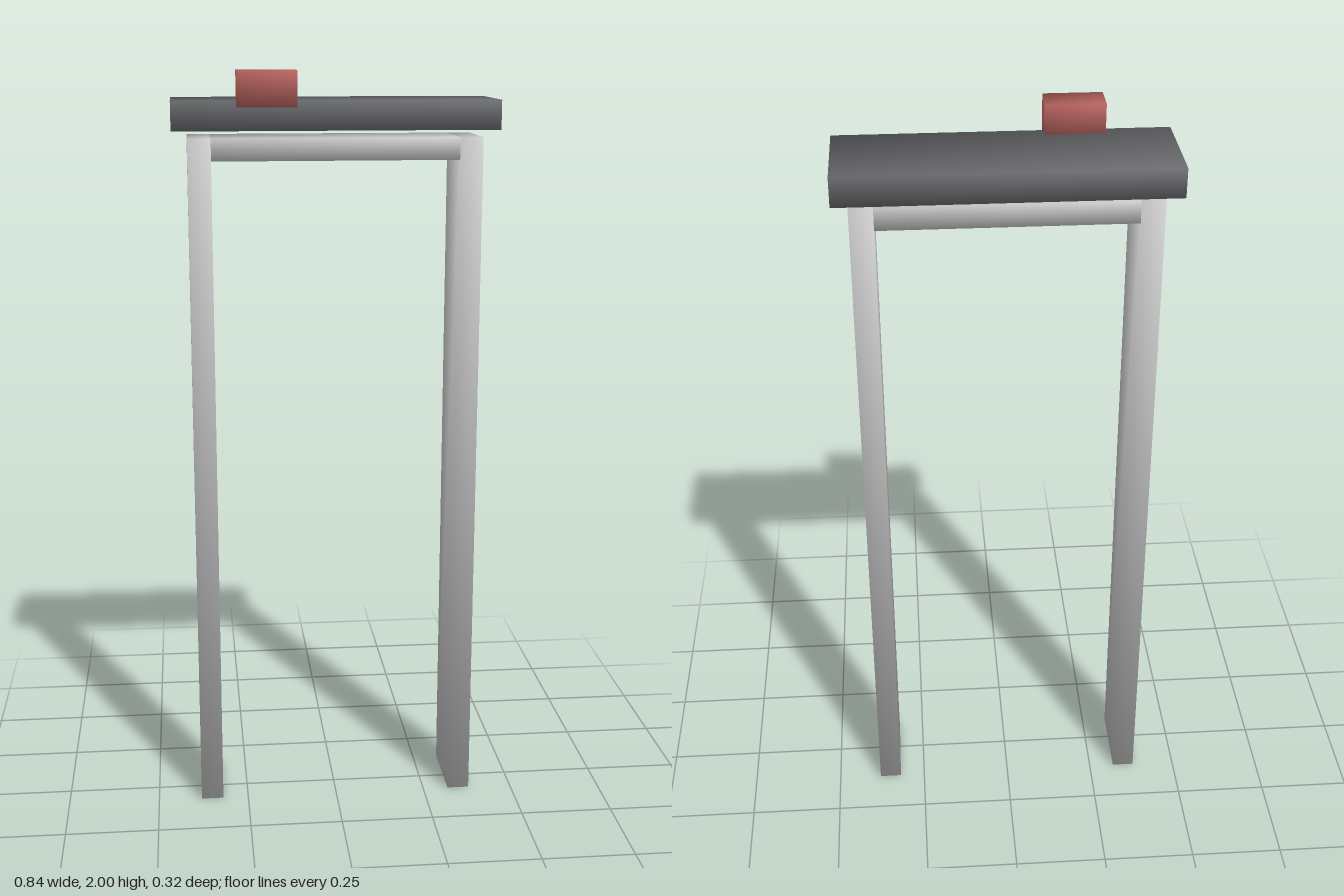
import * as THREE from 'three';

const grey = new THREE.MeshStandardMaterial({ color: 0xcccccc });
const dark = new THREE.MeshStandardMaterial({ color: 0x6c6d70 });
const red = new THREE.MeshStandardMaterial({ color: 0xb8645f });

// Box from its min and max corners, with soft normals shared at each corner
function softBox(name, material, min, max) {
  const size = max.map((v, i) => v - min[i]);
  const geometry = new THREE.BoxGeometry(...size);
  const { position, normal } = geometry.attributes;
  const n = new THREE.Vector3();
  for (let i = 0; i < position.count; i++) {
    n.set(Math.sign(position.getX(i)), Math.sign(position.getY(i)), Math.sign(position.getZ(i))).normalize();
    normal.setXYZ(i, n.x, n.y, n.z);
  }
  const mesh = new THREE.Mesh(geometry, material);
  mesh.name = name;
  mesh.position.set(...max.map((v, i) => (v + min[i]) / 2));
  return mesh;
}

export function createModel() {
  const group = new THREE.Group();
  group.name = 'gateway';

  // Two upright posts
  group.add(softBox('leftPost', grey, [0.32, 0, -0.125], [0.38, 1.83, 0.08]));
  group.add(softBox('rightPost', grey, [-0.38, 0, -0.125], [-0.32, 1.83, 0.08]));

  // Crossbeam flush with the posts
  group.add(softBox('crossbeam', grey, [-0.32, 1.773, -0.125], [0.32, 1.83, 0.08]));

  // Dark slab floating just above the frame
  group.add(softBox('topSlab', dark, [-0.42, 1.85, -0.16], [0.42, 1.925, 0.108]));

  // Small red block overhanging the front edge of the slab
  group.add(softBox('redBlock', red, [-0.255, 1.91, 0.076], [-0.105, 2, 0.16]));

  return group;
}
